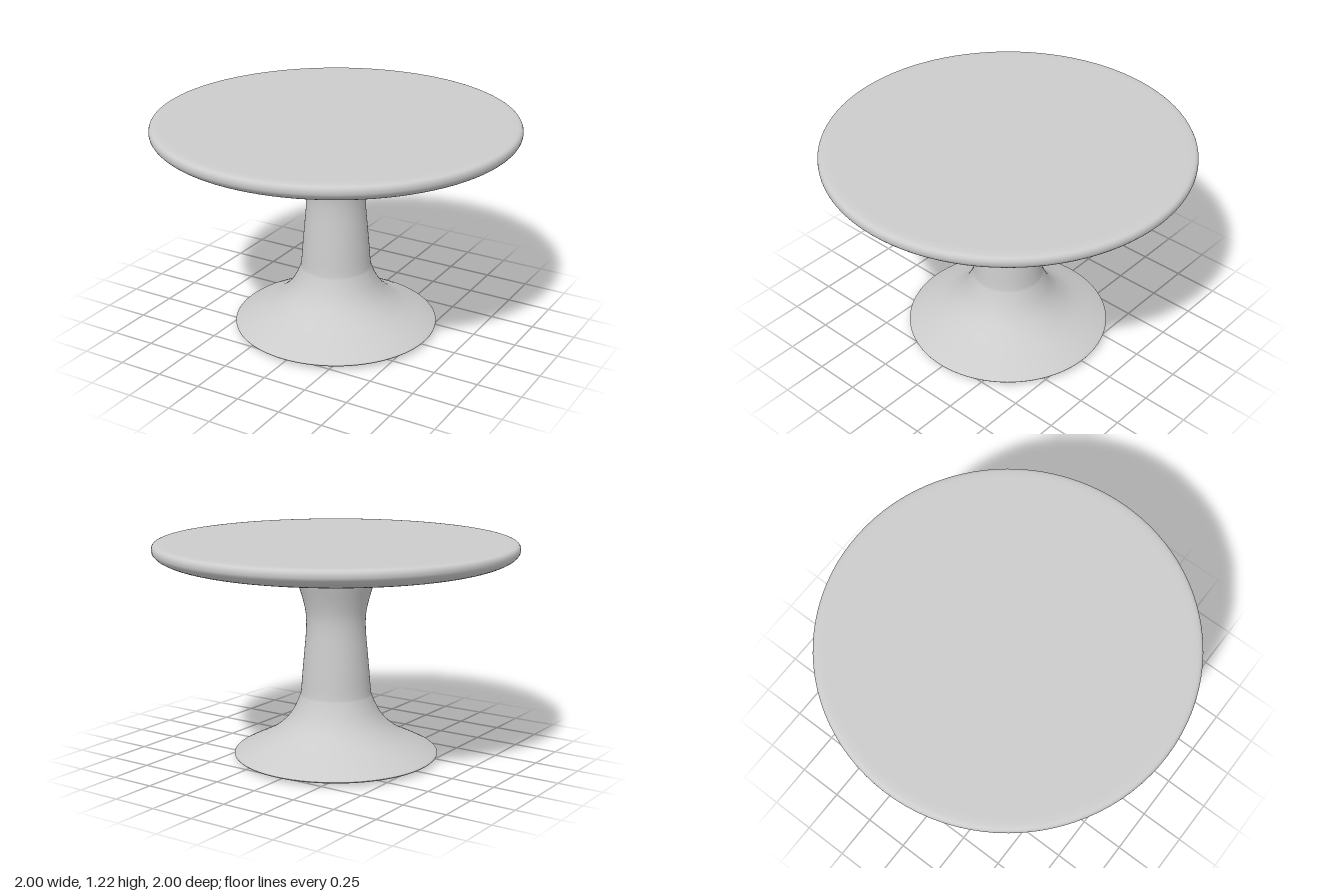
import * as THREE from 'three';

const material = new THREE.MeshStandardMaterial({ color: 0xcccccc });

// Smooth curve through [radius, height] points
const smooth = (points, steps) =>
  new THREE.SplineCurve(points.map(([r, y]) => new THREE.Vector2(r, y))).getPoints(steps);

// Round part turned from a profile that runs from bottom to top
function turned(name, profile) {
  const mesh = new THREE.Mesh(new THREE.LatheGeometry(profile, 96), material);
  mesh.name = name;
  return mesh;
}

export function createModel() {
  const group = new THREE.Group();
  group.name = 'pedestalTable';

  // Pedestal: nearly flat foot, flared skirt, waisted column
  const foot = smooth([[0, 0], [0.25, 0.003], [0.45, 0.01], [0.545, 0.016], [0.57, 0.026], [0.56, 0.037]], 24);
  const skirt = smooth([[0.56, 0.037], [0.5, 0.068], [0.435, 0.1], [0.36, 0.142], [0.295, 0.195],
    [0.25, 0.25], [0.218, 0.31], [0.198, 0.36]], 28);
  const column = smooth([[0.198, 0.36], [0.193, 0.4], [0.185, 0.5], [0.174, 0.62], [0.165, 0.73], [0.167, 0.82],
    [0.185, 0.905], [0.208, 0.98], [0.223, 1.035], [0.227, 1.07], [0.22, 1.1]], 36);
  group.add(turned('pedestal', [...foot, ...skirt.slice(1), ...column.slice(1)]));

  // Round top: flat faces, wide curve underneath, tight curve above
  const edge = smooth([[0.62, 1.094], [0.78, 1.099], [0.89, 1.114], [0.96, 1.138], [0.993, 1.165],
    [1, 1.19], [0.993, 1.21], [0.975, 1.219], [0.94, 1.222]], 40);
  group.add(turned('tabletop', [new THREE.Vector2(0, 1.094), new THREE.Vector2(0.5, 1.094), ...edge,
    new THREE.Vector2(0.85, 1.222), new THREE.Vector2(0, 1.222)]));

  return group;
}
